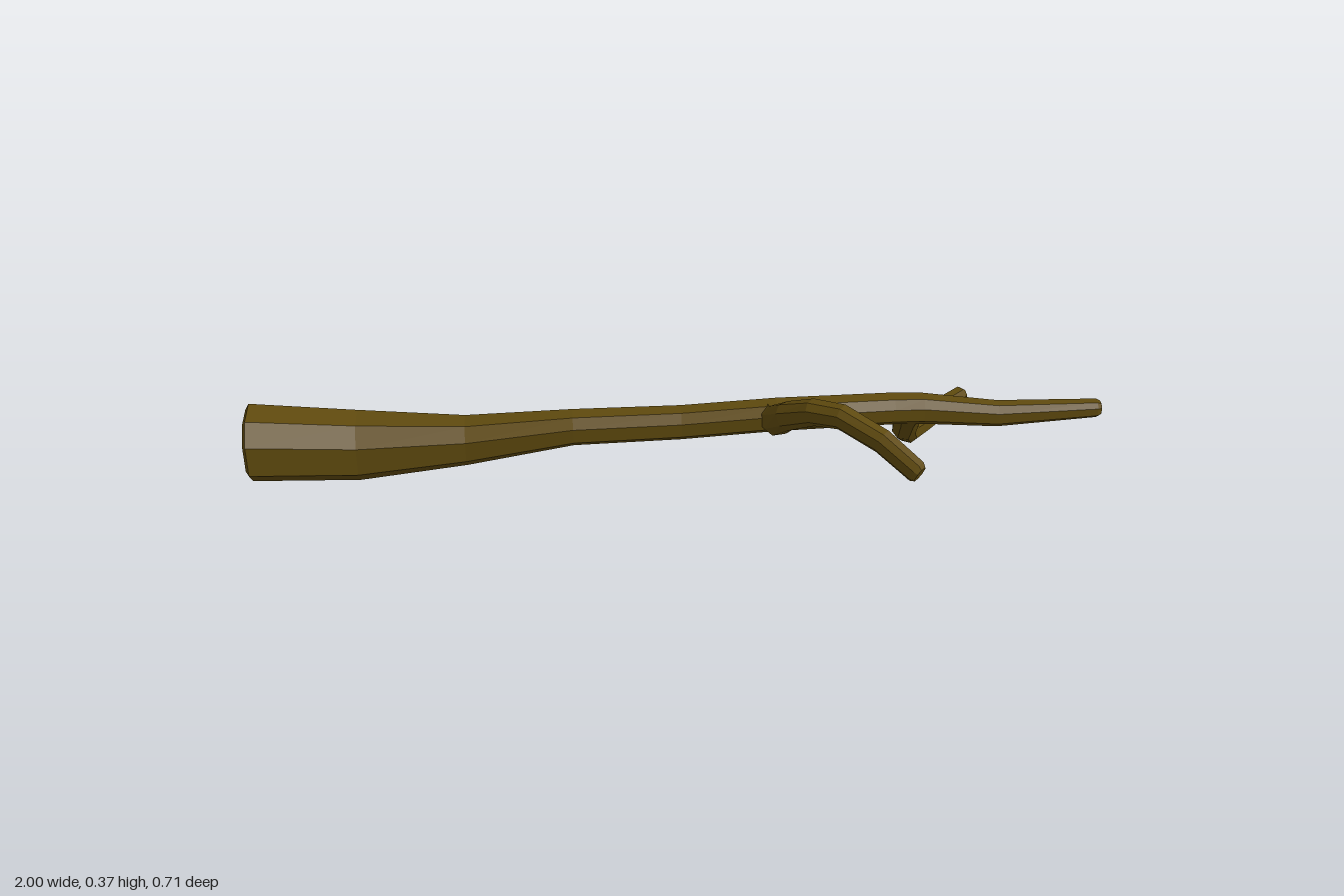
import * as THREE from 'three';

const UP = new THREE.Vector3(0, 1, 0);

// Chamfered-square outline, eight corners
const K = 0.47;
const OUTLINE = [[1, -K], [1, K], [K, 1], [-K, 1], [-1, K], [-1, -K], [-K, -1], [K, -1]];

// Sweeps the outline along stations [x, y, z, halfWidth, halfHeight].
// A fixed direction keeps all rings parallel; otherwise they follow the path.
function limb(name, stations, material, direction) {
  const points = stations.map(s => new THREE.Vector3(s[0], s[1], s[2]));
  const last = points.length - 1;
  const rings = [];
  const centres = [];

  const addRing = (i, scale, shift) => {
    const ahead = points[Math.min(i + 1, last)];
    const behind = points[Math.max(i - 1, 0)];
    const t = direction ? direction.clone() : ahead.clone().sub(behind).normalize();
    const side = t.clone().cross(UP).normalize();
    const normal = side.clone().cross(t);
    const c = points[i].clone().addScaledVector(t, shift);
    centres.push(c);
    rings.push(OUTLINE.map(([u, v]) => c.clone()
      .addScaledVector(side, u * stations[i][3] * scale)
      .addScaledVector(normal, v * stations[i][4] * scale)));
  };

  // Small bevels at both ends
  addRing(0, 0.85, -0.008);
  for (let i = 0; i <= last; i++) addRing(i, 1, 0);
  addRing(last, 0.75, 0.01);

  const pos = [];
  const tri = (...corners) => corners.forEach(p => pos.push(p.x, p.y, p.z));
  const n = OUTLINE.length;
  const end = rings.length - 1;
  for (let j = 0; j < n; j++) {
    const k = (j + 1) % n;
    for (let i = 0; i < end; i++) {
      tri(rings[i][j], rings[i + 1][j], rings[i + 1][k]);
      tri(rings[i][j], rings[i + 1][k], rings[i][k]);
    }
    tri(centres[0], rings[0][j], rings[0][k]);
    tri(centres[end], rings[end][k], rings[end][j]);
  }
  const geometry = new THREE.BufferGeometry();
  geometry.setAttribute('position', new THREE.Float32BufferAttribute(pos, 3));
  geometry.computeVertexNormals();
  const mesh = new THREE.Mesh(geometry, material);
  mesh.name = name;
  return mesh;
}

export function createModel() {
  const bark = new THREE.MeshStandardMaterial({ color: 0x5f4a0e });
  bark.name = 'brown bark';

  const group = new THREE.Group();
  group.name = 'branch';

  // Main stem, thick at -x and thin at +x
  group.add(limb('mainStem', [
    [-0.992, 0.182, -0.031, 0.081, 0.082],
    [-0.75, 0.144, -0.06, 0.072, 0.076],
    [-0.5, 0.153, -0.05, 0.052, 0.054],
    [-0.25, 0.196, -0.023, 0.04, 0.038],
    [0, 0.205, -0.013, 0.037, 0.036],
    [0.22, 0.232, 0.01, 0.036, 0.035],
    [0.5, 0.211, -0.028, 0.034, 0.034],
    [0.57, 0.206, -0.031, 0.031, 0.034],
    [0.75, 0.18, -0.037, 0.026, 0.029],
    [0.99, 0.178, -0.047, 0.02, 0.02],
  ], bark, new THREE.Vector3(1, 0, 0)));

  // Twig arching up and forward
  group.add(limb('frontTwig', [
    [0.218, 0.228, 0.01, 0.038, 0.036],
    [0.218, 0.24, 0.045, 0.034, 0.034],
    [0.235, 0.287, 0.1, 0.029, 0.031],
    [0.285, 0.333, 0.158, 0.026, 0.028],
    [0.34, 0.349, 0.205, 0.024, 0.027],
    [0.42, 0.327, 0.273, 0.022, 0.027],
    [0.487, 0.288, 0.336, 0.02, 0.026],
  ], bark));

  // Twig drooping down and backward
  group.add(limb('backTwig', [
    [0.538, 0.205, -0.035, 0.038, 0.034],
    [0.54, 0.168, -0.06, 0.031, 0.031],
    [0.545, 0.108, -0.1, 0.028, 0.03],
    [0.565, 0.067, -0.145, 0.025, 0.029],
    [0.605, 0.043, -0.21, 0.024, 0.028],
    [0.66, 0.034, -0.275, 0.022, 0.027],
    [0.73, 0.031, -0.337, 0.02, 0.027],
  ], bark));

  return group;
}
